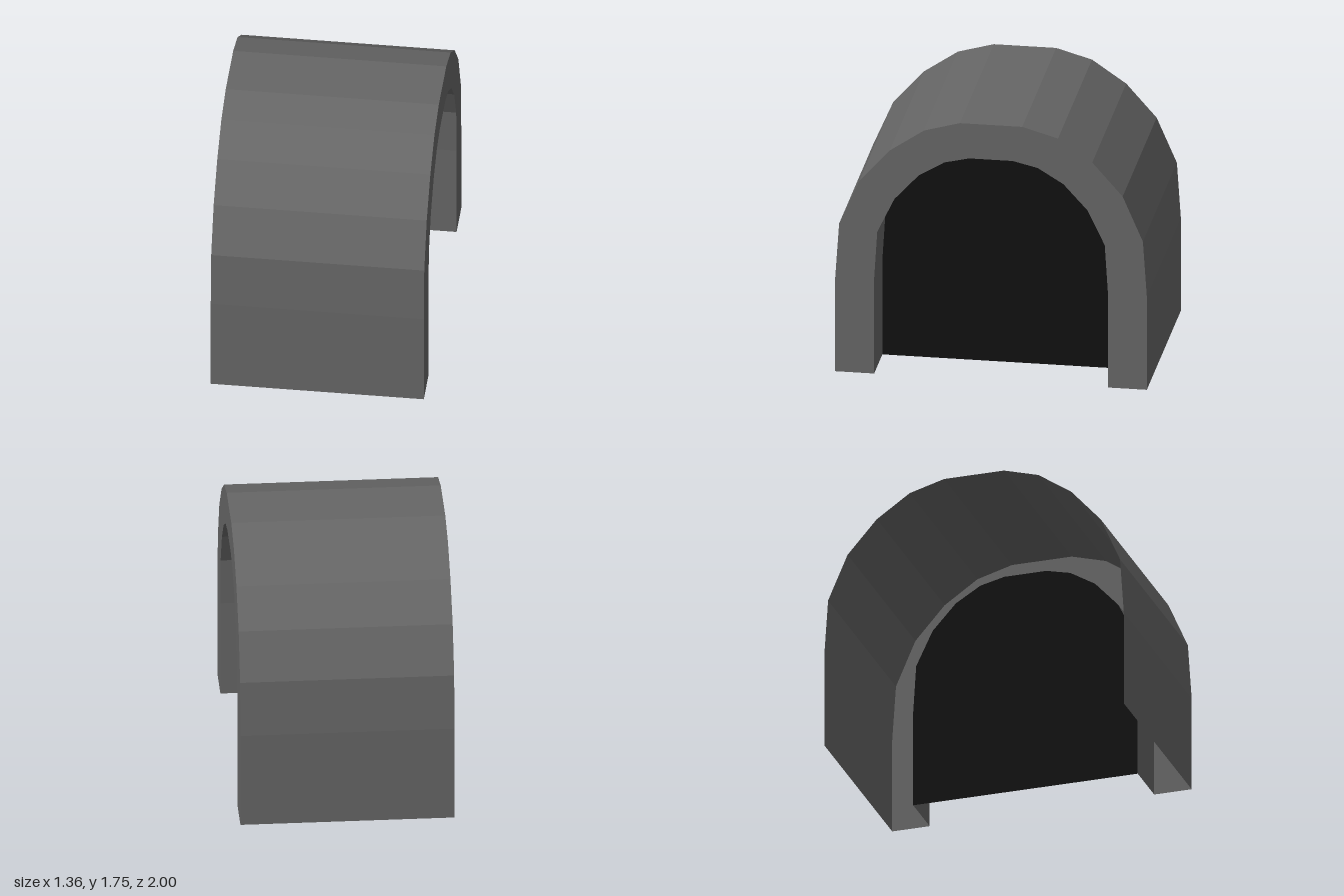
import * as THREE from 'three';

// Half profiles as [z, y], from the ground up to the crown
const OUTER = [[1, 0], [1, 0.64], [0.975, 1.01], [0.845, 1.31], [0.65, 1.53], [0.43, 1.68], [0.2, 1.745]];
const INNER = [[0.75, 0], [0.75, 0.65], [0.73, 0.97], [0.62, 1.2], [0.465, 1.37], [0.3, 1.47], [0.14, 1.508]];

const FRONT_X = 0.68, BACK_X = -0.68, PANEL_X = 0.35;

// Mirror a half profile into a full arch
const arch = (half) => [...half, ...half.map(([z, y]) => [-z, y]).reverse()];

// Open vault: the arch swept along x from x0 to x1
function vault(profile, x0, x1) {
  const pos = [];
  for (let i = 0; i < profile.length - 1; i++) {
    const [za, ya] = profile[i], [zb, yb] = profile[i + 1];
    pos.push(x0, ya, za, x1, ya, za, x1, yb, zb);
    pos.push(x0, ya, za, x1, yb, zb, x0, yb, zb);
  }
  const g = new THREE.BufferGeometry();
  g.setAttribute('position', new THREE.Float32BufferAttribute(pos, 3));
  g.computeVertexNormals();
  return g;
}

// Flat sheet with the given outline, facing +x
function sheet(outline, x) {
  const shape = new THREE.Shape(outline.map(([z, y]) => new THREE.Vector2(z, y)));
  return new THREE.ShapeGeometry(shape).rotateY(Math.PI / 2).translate(x, 0, 0);
}

export function createModel() {
  const group = new THREE.Group();
  group.name = 'archedShelter';
  const grey = new THREE.MeshStandardMaterial({ color: 0x666666, flatShading: true, side: THREE.DoubleSide });
  const black = new THREE.MeshStandardMaterial({ color: 0x111111, flatShading: true, side: THREE.DoubleSide });
  const add = (name, geometry, material) => {
    const mesh = new THREE.Mesh(geometry, material);
    mesh.name = name;
    group.add(mesh);
  };

  const outer = arch(OUTER), inner = arch(INNER);

  // Thin outer vault, open at the back and underneath
  add('outerShell', vault(outer, BACK_X, FRONT_X), grey);
  // Border around the opening
  add('archFace', sheet([...outer, ...[...inner].reverse()], FRONT_X), grey);
  // Inner walls leading back to the panel
  add('doorwayReveal', vault(inner, FRONT_X, PANEL_X), grey);
  // Recessed dark panel closing the doorway
  add('doorPanel', sheet(inner, PANEL_X), black);

  return group;
}
